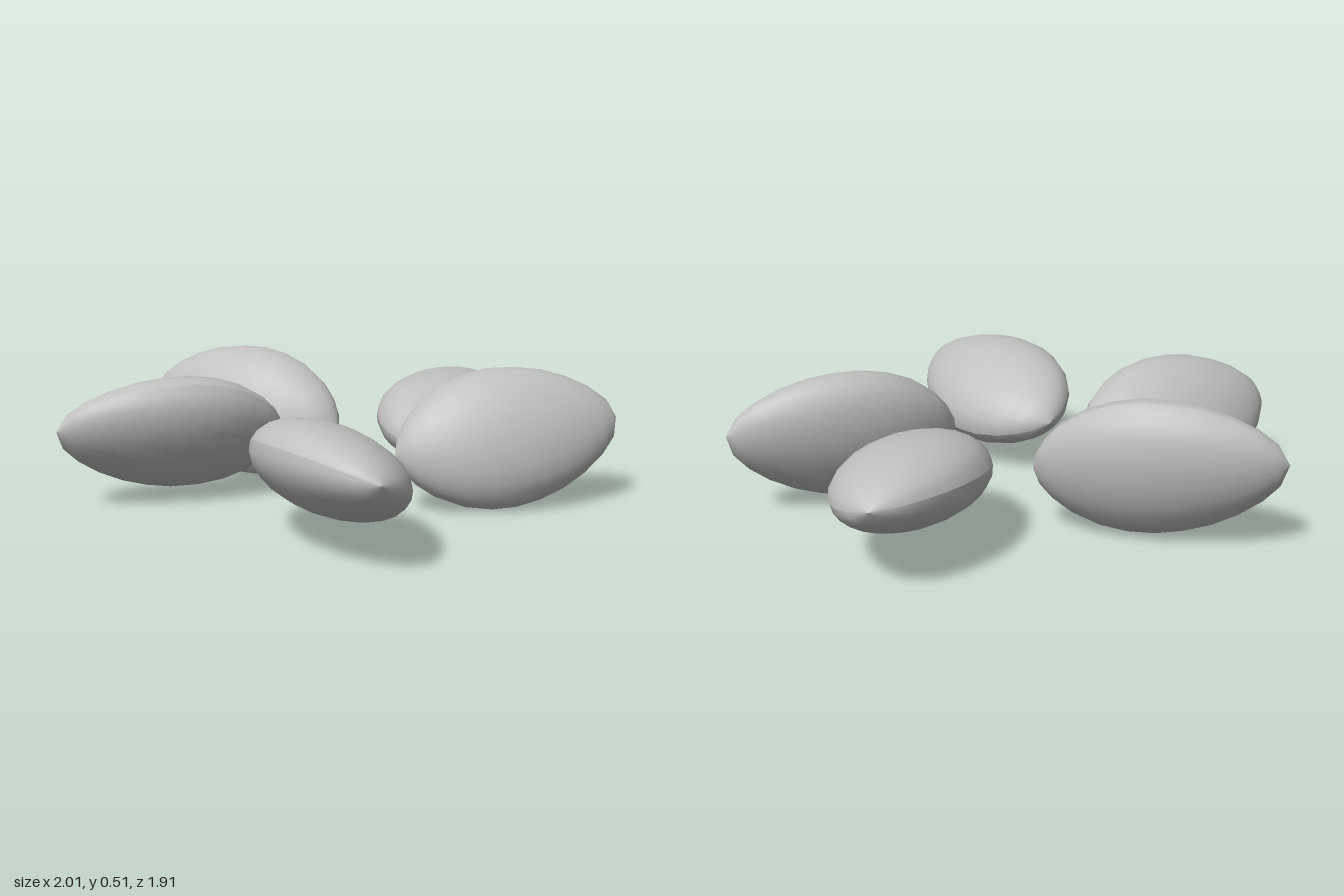
import * as THREE from 'three';

const shellGrey = new THREE.MeshStandardMaterial({ color: 0xc0c0c0 });
shellGrey.name = 'shellGrey';

const WIDTH = 0.262, THICK = 0.152;

// Half-width along the seed, inner end to outer end: [position, share of full width]
const PROFILE = [
  [0, 0], [0.025, 0.25], [0.07, 0.46], [0.14, 0.67], [0.25, 0.87], [0.36, 0.97],
  [0.47, 1], [0.58, 0.96], [0.69, 0.87], [0.8, 0.71], [0.89, 0.52], [0.96, 0.3], [1, 0],
];

// One smooth half of the lens-shaped shell; half 0 is the upper, half 1 the lower.
// Local axes: x along the seed, y across its thickness, z towards its edge.
function shellHalf(length, half) {
  const steps = 12, row = steps + 1, pos = [], index = [];
  PROFILE.forEach(([t, p]) => {
    for (let j = 0; j <= steps; j++) {
      const a = Math.PI * (half + j / steps);
      pos.push((t - 0.5) * length, THICK * Math.pow(p, 0.95) * Math.sin(a), WIDTH * p * Math.cos(a));
    }
  });
  for (let i = 0; i < PROFILE.length - 1; i++) {
    for (let j = 0; j < steps; j++) {
      const a = i * row + j, b = a + row;
      if (i === 0) {
        index.push(a, b, b + 1);
      } else {
        index.push(a, b, a + 1);
        if (i < PROFILE.length - 2) index.push(b, b + 1, a + 1);
      }
    }
  }
  const geo = new THREE.BufferGeometry();
  geo.setAttribute('position', new THREE.Float32BufferAttribute(pos, 3));
  geo.setIndex(index);
  geo.computeVertexNormals();
  return geo;
}

// A seed between two tips; roll is the angle in degrees of its edge above level
function seed(name, inner, outer, roll) {
  const a = new THREE.Vector3(...inner), b = new THREE.Vector3(...outer);
  const d = b.clone().sub(a), length = d.length();
  d.normalize();
  const side = new THREE.Vector3().crossVectors(d, new THREE.Vector3(0, 1, 0)).normalize();
  const up = new THREE.Vector3().crossVectors(side, d);
  const r = THREE.MathUtils.degToRad(roll);
  const edge = side.multiplyScalar(Math.cos(r)).addScaledVector(up, Math.sin(r));
  const normal = new THREE.Vector3().crossVectors(edge, d);

  const group = new THREE.Group();
  group.name = name;
  ['upperShell', 'lowerShell'].forEach((part, half) => {
    const mesh = new THREE.Mesh(shellHalf(length, half), shellGrey);
    mesh.name = part;
    group.add(mesh);
  });
  group.quaternion.setFromRotationMatrix(new THREE.Matrix4().makeBasis(d, normal, edge));
  group.position.copy(a).add(b).multiplyScalar(0.5);
  return group;
}

export function createModel() {
  const model = new THREE.Group();
  model.name = 'seedRing';
  model.add(
    seed('backLeftSeed', [0.24, 0.20, -0.12], [0.46, 0.31, -0.96], -10),
    seed('leftSeed', [0.20, 0.21, 0.12], [1.0, 0.31, -0.22], 111),
    seed('frontSeed', [-0.17, 0.21, 0.19], [0.24, 0.31, 0.95], 25),
    seed('rightSeed', [-0.27, 0.22, -0.18], [-1.0, 0.30, 0.30], 128),
    seed('backRightSeed', [-0.07, 0.21, -0.32], [-0.89, 0.31, -0.61], 72),
  );
  return model;
}
